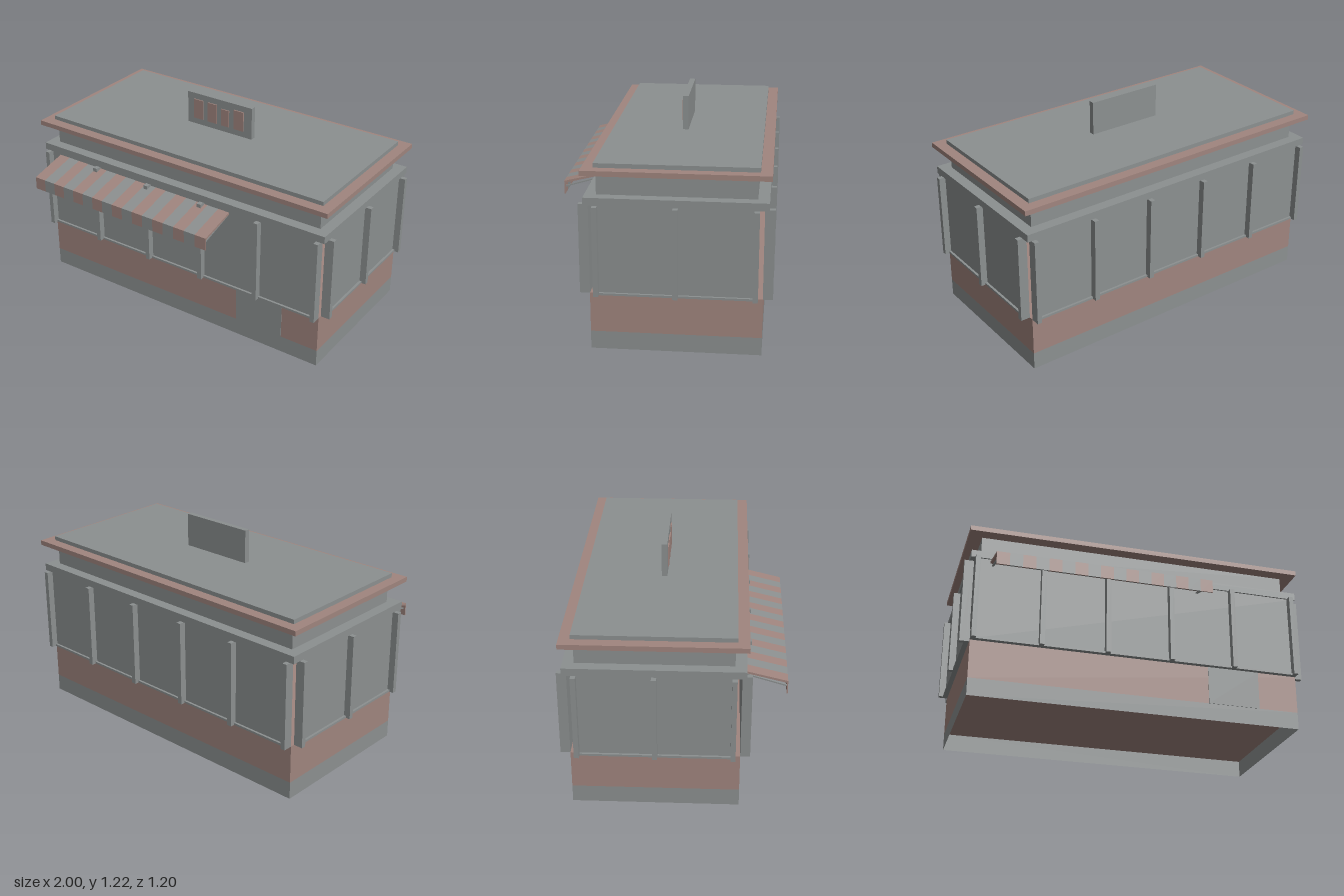
import * as THREE from 'three';

const CZ = -0.092;            // centre of the building in z
const HX = 0.945, HZ = 0.454; // half size of the plinth
const WIN0 = 0.32, WIN1 = 0.813; // window band

export function createModel() {
  const model = new THREE.Group();
  model.name = 'kiosk';

  const grey = new THREE.MeshStandardMaterial({ color: 0x8c9090 });
  grey.name = 'grey';
  const pink = new THREE.MeshStandardMaterial({ color: 0xa0857e });
  pink.name = 'dusty pink';
  const greyShell = grey;
  greyShell.side = THREE.DoubleSide;

  // Box given by its limits on each axis
  function box(name, mat, x0, x1, y0, y1, z0, z1, parent = model) {
    const mesh = new THREE.Mesh(new THREE.BoxGeometry(x1 - x0, y1 - y0, z1 - z0), mat);
    mesh.position.set((x0 + x1) / 2, (y0 + y1) / 2, (z0 + z1) / 2);
    mesh.name = name;
    parent.add(mesh);
    return mesh;
  }
  // Slab centred on the building
  const slab = (name, mat, hx, hz, y0, y1) => box(name, mat, -hx, hx, y0, y1, CZ - hz, CZ + hz);

  // Open plinth skirt, hollow underneath
  for (let i = 0; i < 4; i++) {
    const alongX = i % 2 === 0;
    const skirt = new THREE.Mesh(new THREE.PlaneGeometry(2 * (alongX ? HX : HZ), 0.1), greyShell);
    const a = i * Math.PI / 2, d = alongX ? HZ : HX;
    skirt.position.set(Math.sin(a) * d, 0.05, CZ + Math.cos(a) * d);
    skirt.rotation.y = a;
    skirt.name = 'plinthSkirt';
    model.add(skirt);
  }

  // Lower wall with a door panel
  slab('lowerWall', pink, HX, HZ, 0.1, WIN0);
  box('doorPanel', grey, 0.41, 0.712, 0.1, WIN0, CZ + HZ, CZ + HZ + 0.003);

  // Window wall, built facing +z from its own wall line at z = 0
  function windowWall(name, half, postCount) {
    const wall = new THREE.Group();
    wall.name = name;
    box('windowPane', grey, -half, half, WIN0, WIN1, 0, 0.015, wall);
    box('windowSill', grey, -half, half, WIN0, WIN0 + 0.012, 0.015, 0.028, wall);
    const w = 0.0135;
    for (let i = 0; i < postCount; i++) {
      const x = -half + w + (2 * half - 2 * w) * i / (postCount - 1);
      box('windowPost', grey, x - w, x + w, WIN0, WIN1, 0, 0.053, wall);
    }
    model.add(wall);
    return wall;
  }
  for (const s of [1, -1]) {
    const long = windowWall(s > 0 ? 'frontWindows' : 'backWindows', HX, 6);
    long.position.z = CZ + s * HZ;
    if (s < 0) long.rotation.y = Math.PI;
    const side = windowWall(s > 0 ? 'leftWindows' : 'rightWindows', 0.429, 3);
    side.position.set(s * HX, 0, CZ);
    side.rotation.y = s * Math.PI / 2;
  }

  // Cornice and stepped roof
  slab('cornice', grey, 0.968, 0.478, WIN1, 0.855);
  slab('upperWall', grey, 0.907, 0.417, 0.855, 0.975);
  slab('eave', pink, 0.982, 0.489, 0.975, 1.003);
  slab('roofTop', grey, 0.922, 0.428, 1.003, 1.027);

  // Roof sign with four plain plates
  box('signBoard', grey, -0.222, 0.222, 1.027, 1.22, -0.092, -0.06);
  const plates = [[-0.177, -0.112, 1.184], [-0.08, -0.016, 1.184], [0.015, 0.068, 1.168], [0.102, 0.168, 1.184]];
  for (const [x0, x1, top] of plates) box('signPlate', pink, x0, x1, 1.065, top, -0.06, -0.053);

  // Sloped strip in the yz plane, extruded along x
  function strip(name, mat, points, x0, x1) {
    const shape = new THREE.Shape(points.map(([z, y]) => new THREE.Vector2(-z, y)));
    const geo = new THREE.ExtrudeGeometry(shape, { depth: x1 - x0, bevelEnabled: false });
    geo.rotateY(Math.PI / 2);
    const mesh = new THREE.Mesh(geo, mat);
    mesh.position.x = x0;
    mesh.name = name;
    model.add(mesh);
  }

  // Striped awning with a hanging valance
  const left = -0.86, stripes = 17, step = 1.225 / stripes;
  const canopy = [[0.37, 0.79], [0.596, 0.734], [0.596, 0.67], [0.602, 0.67], [0.602, 0.745], [0.37, 0.802]];
  for (let i = 0; i < stripes; i++) {
    strip('awningStripe', i % 2 ? grey : pink, canopy, left + i * step, left + (i + 1) * step);
  }
  // Awning support arms
  const arm = [[0.37, 0.774], [0.37, 0.782], [0.596, 0.715], [0.596, 0.707]];
  for (const x of [left + 0.01, left + 1.205]) strip('awningArm', grey, arm, x, x + 0.01);

  return model;
}
